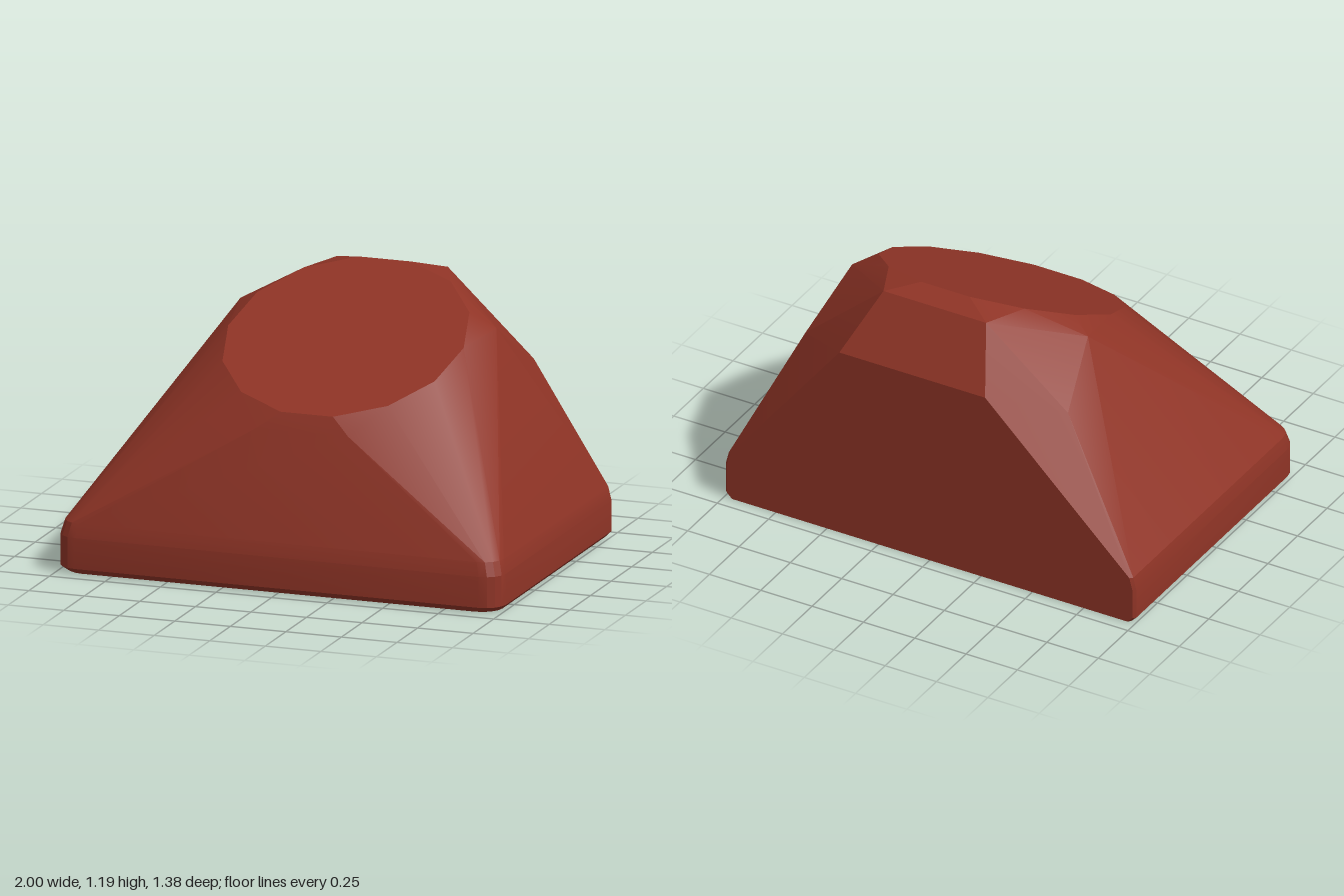
import * as THREE from 'three';
import { ConvexGeometry } from 'three/addons/geometries/ConvexGeometry.js';
import { mergeVertices, toCreasedNormals } from 'three/addons/utils/BufferGeometryUtils.js';

const HALF_WIDTH = 1, HALF_DEPTH = 0.69, CORNER = 0.09;

// Foot outline at one height: rounded front corners, flat back
function footRing(y, inset) {
  const points = [];
  for (const side of [-1, 1]) {
    for (let i = 0; i <= 4; i++) {
      const a = (i / 4) * Math.PI / 2;
      points.push(new THREE.Vector3(
        side * (HALF_WIDTH - inset - CORNER * (1 - Math.cos(a))), y,
        HALF_DEPTH - inset - CORNER * (1 - Math.sin(a))));
    }
    points.push(new THREE.Vector3(side * (HALF_WIDTH - inset), y, -HALF_DEPTH + 0.012));
    points.push(new THREE.Vector3(side * (HALF_WIDTH - inset - 0.012), y, -HALF_DEPTH));
  }
  return points;
}

// Round facet on top, lying in a plane that rises towards the back
function slopedDisc() {
  const points = [], sides = 14;
  for (let i = 0; i < sides; i++) {
    const a = ((i + 0.5) / sides) * Math.PI * 2;
    const x = 0.073 + 0.53 * Math.sin(a);
    const z = 0.045 + 0.487 * Math.cos(a);
    points.push(new THREE.Vector3(x, 0.75 + (0.52 - z) * 0.463, z));
  }
  return points;
}

export function createModel() {
  const group = new THREE.Group();
  group.name = 'facetedBlock';

  // Corners of the large cut faces between foot and top
  const cuts = [
    [-0.27, 0.9, -0.69], [0.44, 0.9, -0.69],     // top edge of the flat back
    [-0.18, 1.155, -0.525], [0.32, 1.155, -0.525], // rear ridge
    [-0.57, 0.82, -0.51], [0.72, 0.8, -0.49],    // rear side corners
    [-0.5, 1.02, -0.22], [0.66, 1.0, -0.2],      // upper side corners
    [-0.14, 0.68, 0.553], [0.27, 0.68, 0.553],   // front face top
  ].map(p => new THREE.Vector3(...p));

  const points = [
    ...footRing(0, 0.025), ...footRing(0.025, 0),
    ...footRing(0.16, 0), ...footRing(0.22, 0.015),
    ...cuts, ...slopedDisc(),
  ];

  // Smooth the small bevels, keep the cut edges sharp
  let geometry = new ConvexGeometry(points);
  geometry.deleteAttribute('normal');
  geometry = toCreasedNormals(mergeVertices(geometry, 1e-4), 0.3);

  const block = new THREE.Mesh(geometry, new THREE.MeshStandardMaterial({ color: 0x8f3426 }));
  block.name = 'block';
  group.add(block);
  return group;
}
